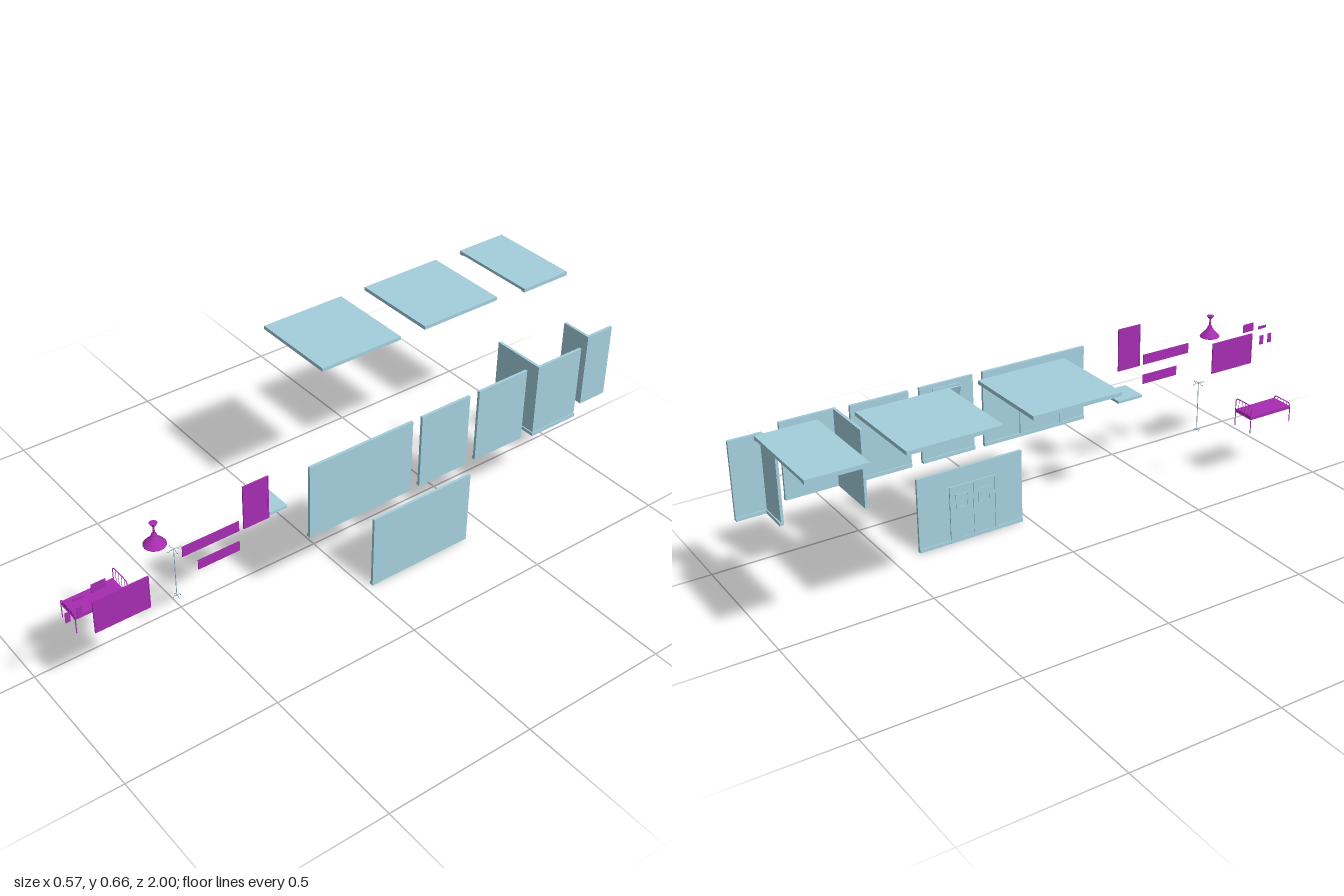
import * as THREE from 'three';

const blue = new THREE.MeshStandardMaterial({ color: 0xa3cfdc, flatShading: true });
const purple = new THREE.MeshStandardMaterial({ color: 0xa62cb0, flatShading: true, side: THREE.DoubleSide });
const steel = new THREE.MeshStandardMaterial({ color: 0x8fb3c0 });

function group(parent, name) {
  const g = new THREE.Group();
  g.name = name;
  parent.add(g);
  return g;
}

function add(parent, name, geo, mat) {
  const m = new THREE.Mesh(geo, mat);
  m.name = name;
  parent.add(m);
  return m;
}

// box given by its limits on each axis
function box(parent, name, mat, [x0, x1], [y0, y1], [z0, z1]) {
  const m = add(parent, name, new THREE.BoxGeometry(x1 - x0, y1 - y0, z1 - z0), mat);
  m.position.set((x0 + x1) / 2, (y0 + y1) / 2, (z0 + z1) / 2);
  return m;
}

// round bar bent through a few points
function bar(parent, name, mat, pts, r, sides = 6) {
  const path = new THREE.CurvePath();
  const v = pts.map(p => new THREE.Vector3(...p));
  for (let i = 1; i < v.length; i++) path.add(new THREE.LineCurve3(v[i - 1], v[i]));
  const curve = v.length > 2 ? new THREE.CatmullRomCurve3(v, false, 'catmullrom', 0.1) : path;
  return add(parent, name, new THREE.TubeGeometry(curve, v.length > 2 ? 24 : 1, r, sides), mat);
}

// straight wall with skirting on its inner (-x) face
function wall(parent, name, y, h, z0, z1) {
  const g = group(parent, name);
  box(g, 'wallPanel', blue, [0.261, 0.27], [y, y + h], [z0, z1]);
  box(g, 'skirting', blue, [0.257, 0.261], [y, y + 0.012], [z0, z1]);
  return g;
}

// three-sided frame around a doorway, standing proud of the inner face
function doorFrame(g, y, top, z0, z1, w = 0.006) {
  const x = [0.2565, 0.262];
  box(g, 'doorJamb', blue, x, [y, top], [z0, z0 + w]);
  box(g, 'doorJamb', blue, x, [y, top], [z1 - w, z1]);
  box(g, 'doorHead', blue, x, [top - w, top], [z0 + w, z1 - w]);
}

// rectangular frame of four strips lying in the yz plane
function rectFrame(g, name, mat, x, [y0, y1], [z0, z1], w) {
  box(g, name, mat, x, [y0, y0 + w], [z0, z1]);
  box(g, name, mat, x, [y1 - w, y1], [z0, z1]);
  box(g, name, mat, x, [y0 + w, y1 - w], [z0, z0 + w]);
  box(g, name, mat, x, [y0 + w, y1 - w], [z1 - w, z1]);
}

function buildWalls(root) {
  // wall with double doors
  const dd = wall(root, 'doubleDoorWall', 0, 0.257, -0.405, -0.025);
  doorFrame(dd, 0, 0.2, -0.293, -0.122);
  for (const z of [-0.287, -0.206]) {
    box(dd, 'doorLeaf', blue, [0.259, 0.2615], [0, 0.194], [z, z + 0.078]);
    rectFrame(dd, 'doorWindowFrame', blue, [0.257, 0.26], [0.118, 0.168], [z + 0.016, z + 0.062], 0.004);
  }

  // wall with a single door
  const sd = wall(root, 'singleDoorWall', 0.308, 0.252, -0.16, 0.215);
  doorFrame(sd, 0.308, 0.51, -0.03, 0.125);
  box(sd, 'doorLeaf', blue, [0.259, 0.2615], [0.308, 0.504], [-0.024, 0.119]);

  // wall with a tilting window
  const ww = wall(root, 'windowWall', 0.308, 0.252, -0.38, -0.195);
  rectFrame(ww, 'windowFrame', blue, [0.257, 0.262], [0.46, 0.547], [-0.335, -0.24], 0.005);
  box(ww, 'windowBar', blue, [0.257, 0.262], [0.503, 0.508], [-0.33, -0.245]);
  const sash = group(ww, 'openSash');
  sash.position.set(0.26, 0.508, 0);
  sash.rotation.z = 0.36;
  rectFrame(sash, 'sashFrame', blue, [-0.003, 0], [0, 0.037], [-0.33, -0.245], 0.005);
  box(sash, 'sashPane', blue, [-0.002, -0.001], [0.005, 0.032], [-0.325, -0.25]);

  wall(root, 'plainWall', 0.308, 0.252, -0.61, -0.417);

  // outer corner, skirting on the convex side
  const y = [0.308, 0.56], s = [0.307, 0.318];
  const oc = group(root, 'outerCornerWall');
  box(oc, 'frontPanel', blue, [0.097, 0.279], y, [-0.659, -0.65]);
  box(oc, 'sidePanel', blue, [0.27, 0.279], y, [-0.83, -0.659]);
  box(oc, 'frontSkirting', blue, [0.097, 0.283], s, [-0.65, -0.646]);
  box(oc, 'sideSkirting', blue, [0.279, 0.283], s, [-0.83, -0.65]);

  // inner corner, skirting on the concave side
  const ic = group(root, 'innerCornerWall');
  box(ic, 'frontPanel', blue, [0.137, 0.244], y, [-0.904, -0.895]);
  box(ic, 'sidePanel', blue, [0.235, 0.244], y, [-1, -0.904]);
  box(ic, 'frontSkirting', blue, [0.137, 0.235], s, [-0.908, -0.904]);
  box(ic, 'sideSkirting', blue, [0.231, 0.235], s, [-1, -0.908]);
}

function buildSlabs(root) {
  box(root, 'ceilingPanel', blue, [-0.285, 0.012], [0.65, 0.662], [-0.32, -0.024]);
  box(root, 'ceilingPanel', blue, [-0.285, 0.012], [0.65, 0.662], [-0.71, -0.415]);
  const c = group(root, 'corridorCeiling');
  box(c, 'ceilingPanel', blue, [-0.285, 0.027], [0.651, 0.661], [-1, -0.815]);
  for (const x of [-0.285, 0.01]) box(c, 'ceilingLip', blue, [x, x + 0.017], [0.648, 0.652], [-1, -0.815]);
  box(root, 'floorTile', blue, [0.121, 0.213], [0.402, 0.411], [0.253, 0.346]);
}

// flat boards and pictures: x, y range, z range
function buildBoards(root) {
  const boards = [
    ['tallPoster', 0.259, [0.442, 0.588], [0.349, 0.435]],
    ['longSign', 0.259, [0.442, 0.477], [0.45, 0.636]],
    ['shortSign', 0.259, [0.373, 0.406], [0.45, 0.588]],
    ['noticeBoard', 0.2715, [0.333, 0.443], [0.752, 0.925]],
    ['smallSign', 0.259, [0.46, 0.489], [0.873, 0.917]],
    ['tinySign', 0.259, [0.459, 0.469], [0.94, 0.973]],
    ['doorPlate', 0.259, [0.4, 0.433], [0.985, 1]],
    ['doorPlate', 0.259, [0.4, 0.433], [0.949, 0.965]],
  ];
  for (const [name, x, y, z] of boards) {
    const g = group(root, name);
    box(g, 'board', purple, [x - 0.001, x + 0.001], y, z);
    if (y[1] - y[0] > 0.1) rectFrame(g, 'boardFrame', purple, [x - 0.002, x + 0.002], y, z, 0.004);
  }
}

function buildLamp(root) {
  const profile = [[0, 0.571], [0.012, 0.571], [0.006, 0.562], [0.003, 0.562], [0.003, 0.536], [0.007, 0.535],
    [0.009, 0.528], [0.014, 0.52], [0.022, 0.512], [0.033, 0.5], [0.033, 0.498], [0.02, 0.51], [0, 0.52]];
  const pts = profile.map(p => new THREE.Vector2(...p)).reverse();
  const lamp = add(root, 'pendantLamp', new THREE.LatheGeometry(pts, 16), purple);
  lamp.position.set(0.227, 0, 0.7);
}

function buildBed(root) {
  const bed = group(root, 'bed');
  const x0 = 0.035, x1 = 0.115;
  box(bed, 'mattress', purple, [x0, x1], [0.253, 0.264], [0.737, 0.903]);
  // head and foot hoops with upright bars
  for (const [name, z, top] of [['headboard', 0.735, 0.304], ['footboard', 0.905, 0.273]]) {
    const g = group(bed, name);
    const c = 0.008;
    bar(g, 'hoop', purple, [[x0, 0.205, z], [x0, top - c, z], [x0 + c, top, z], [x1 - c, top, z], [x1, top - c, z], [x1, 0.205, z]], 0.0016);
    bar(g, 'lowerRail', purple, [[x0, 0.255, z], [x1, 0.255, z]], 0.0016);
    for (let i = 1; i < 5; i++) {
      const x = x0 + (x1 - x0) * i / 5;
      bar(g, 'upright', purple, [[x, 0.255, z], [x, top, z]], 0.0008);
    }
  }
}

function buildStand(root) {
  const stand = group(root, 'dripStand');
  stand.position.set(0.152, 0, 0.6);
  bar(stand, 'pole', steel, [[0, 0.207, 0], [0, 0.382, 0]], 0.0013);
  // four hooked arms and four feet
  for (let i = 0; i < 4; i++) {
    const arm = group(stand, 'armAndFoot');
    arm.rotation.y = i * Math.PI / 2;
    bar(arm, 'hook', steel, [[0, 0.38, 0], [0.011, 0.38, 0], [0.015, 0.376, 0], [0.02, 0.376, 0], [0.023, 0.381, 0]], 0.001);
    bar(arm, 'foot', steel, [[0, 0.21, 0], [0.008, 0.21, 0], [0.012, 0.207, 0], [0.012, 0.204, 0]], 0.001);
  }
}

export function createModel() {
  const root = new THREE.Group();
  root.name = 'hospitalKit';
  buildWalls(root);
  buildSlabs(root);
  buildBoards(root);
  buildLamp(root);
  buildBed(root);
  buildStand(root);
  return root;
}
